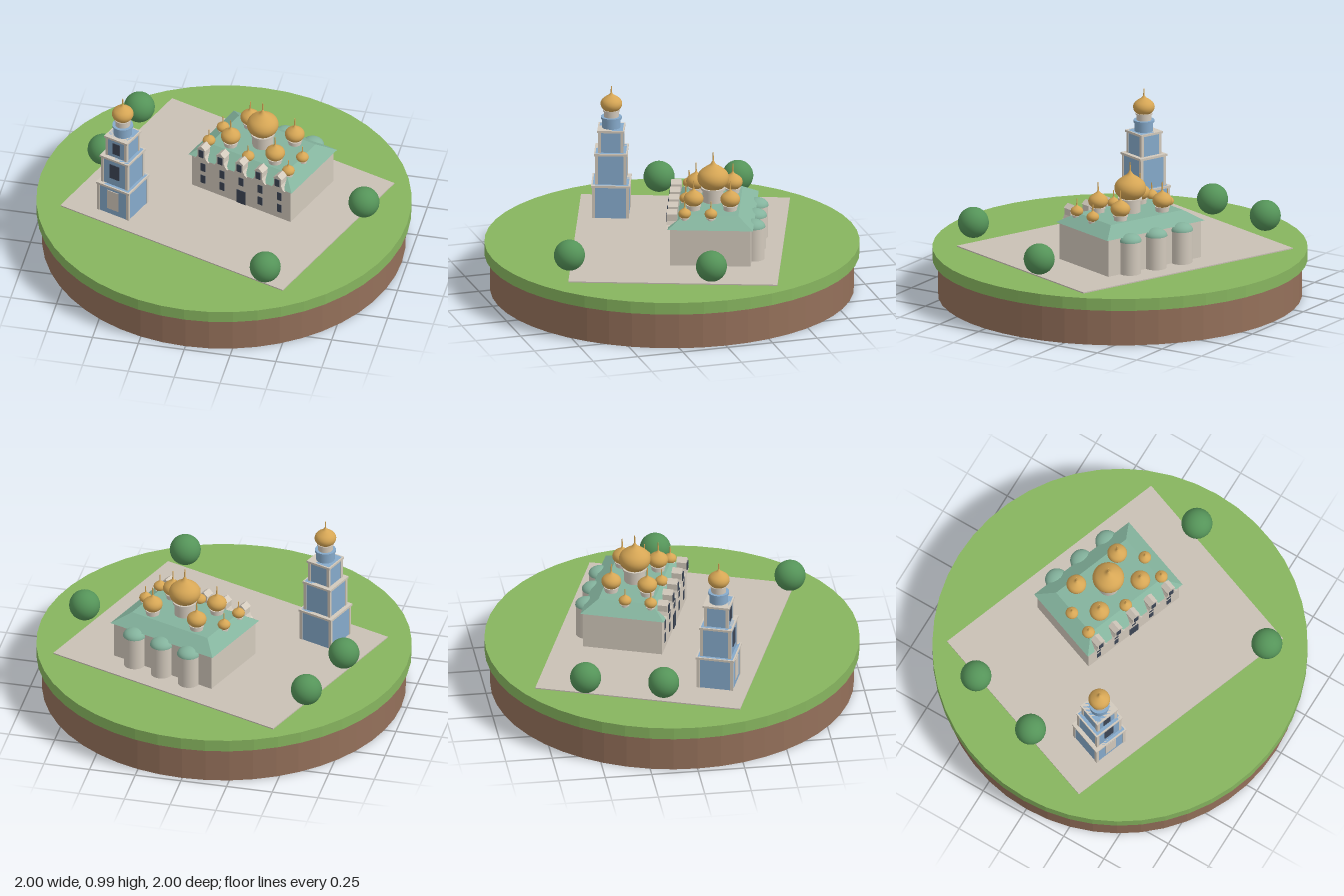
import * as THREE from 'three';

const mat = (name, color) => Object.assign(new THREE.MeshStandardMaterial({ color }), { name });

export function createModel() {
  const M = {
    grass: mat('grass', 0x87b55f), earth: mat('earth', 0x94705a),
    paving: mat('paving', 0xc9c0b5), stone: mat('pale stone', 0xd2c9bc),
    teal: mat('teal roof', 0x84b39d), gold: mat('gold', 0xd6a655),
    blue: mat('tower blue', 0x86aacb), dark: mat('dark opening', 0x3d4656),
    leaf: mat('foliage', 0x559459),
  };
  const root = new THREE.Group();
  root.name = 'churchIsland';

  const add = (parent, name, geo, material, x = 0, y = 0, z = 0) => {
    const m = new THREE.Mesh(geo, material);
    m.name = name;
    m.position.set(x, y, z);
    parent.add(m);
    return m;
  };
  // box standing on its base y
  const box = (parent, name, material, w, h, d, x, y, z) =>
    add(parent, name, new THREE.BoxGeometry(w, h, d), material, x, y + h / 2, z);
  // upright cylinder standing on its base y
  const drum = (parent, name, material, rt, rb, h, x, y, z, n = 24) =>
    add(parent, name, new THREE.CylinderGeometry(rt, rb, h, n), material, x, y + h / 2, z);
  const turned = (name, x, z) => {
    const g = new THREE.Group();
    g.name = name;
    g.position.set(x, 0, z);
    g.rotation.y = -THREE.MathUtils.degToRad(20);
    root.add(g);
    return g;
  };
  const faceted = (geo) => {
    const g = geo.toNonIndexed();
    g.computeVertexNormals();
    return g;
  };

  // ground disc
  add(root, 'earthBase', faceted(new THREE.CylinderGeometry(0.97, 0.97, 0.2, 48)), M.earth, 0, 0.1, 0);
  add(root, 'grassDisc', faceted(new THREE.CylinderGeometry(1, 1, 0.066, 48)), M.grass, 0, 0.233, 0);
  const court = turned('courtyard', 0.01, -0.037);
  box(court, 'pavedCourt', M.paving, 1.4, 0.012, 1.115, 0, 0.26, 0);

  // onion dome with spire, y is its foot
  const onionCurve = new THREE.SplineCurve([
    [0.62, 0], [0.9, 0.28], [1, 0.65], [0.86, 1.02], [0.5, 1.32], [0.2, 1.52], [0.04, 1.78],
  ].map(([x, y]) => new THREE.Vector2(x, y)));
  const onionProfile = [new THREE.Vector2(0, 0), ...onionCurve.getPoints(18), new THREE.Vector2(0, 1.82)];
  const onionGeo = new THREE.LatheGeometry(onionProfile, 28);
  const onion = (parent, r, x, y, z, spire) => {
    add(parent, 'onionDome', onionGeo, M.gold, x, y, z).scale.setScalar(r);
    drum(parent, 'spire', M.gold, 0.0025, 0.004, spire, x, y + r * 1.72, z, 8);
  };

  // church body
  const church = turned('church', 0.173, -0.176);
  const base = 0.268, front = 0.215;
  box(church, 'churchWalls', M.stone, 0.62, 0.21, 0.43, 0, base, 0);

  // hipped roof with a flat top
  const roofGeo = new THREE.BoxGeometry(0.65, 0.055, 0.455);
  const p = roofGeo.attributes.position;
  for (let i = 0; i < p.count; i++) {
    if (p.getY(i) > 0) p.setXYZ(i, Math.sign(p.getX(i)) * 0.24, p.getY(i), Math.sign(p.getZ(i)) * 0.146);
  }
  add(church, 'hippedRoof', faceted(roofGeo), M.teal, 0, 0.5035, 0);

  // flared dormers, windows and door along the front
  const half = [[0.045, 0], [0.031, 0.013], [0.022, 0.034], [0.022, 0.07], [0.027, 0.072], [0.012, 0.084]];
  const gable = new THREE.Shape([...half, [0, 0.094], ...half.slice().reverse().map(([x, y]) => [-x, y])]
    .map(([x, y]) => new THREE.Vector2(x, y)));
  const gableGeo = new THREE.ExtrudeGeometry(gable, { depth: 0.055, bevelEnabled: false });
  for (let i = -2; i <= 2; i++) {
    const x = i * 0.12;
    add(church, 'dormer', gableGeo, M.stone, x, 0.472, 0.18);
    box(church, 'dormerWindow', M.dark, 0.028, 0.045, 0.006, x, 0.496, 0.236);
    box(church, 'upperWindow', M.dark, 0.028, 0.05, 0.006, x, 0.39, front);
    if (i) box(church, 'lowerWindow', M.dark, 0.028, 0.05, 0.006, x, 0.312, front);
  }
  box(church, 'door', M.dark, 0.056, 0.088, 0.008, 0, base, front);

  // rounded apses at the back
  for (const x of [-0.172, 0, 0.172]) {
    drum(church, 'apse', M.stone, 0.058, 0.058, 0.182, x, base, -0.225);
    const cap = add(church, 'apseCap', new THREE.SphereGeometry(0.062, 24, 8, 0, Math.PI * 2, 0, Math.PI / 2),
      M.teal, x, 0.45, -0.225);
    cap.scale.y = 0.65;
  }

  // church domes: x, z, radius, foot height, spire length
  const domes = [[0, 0, 0.085, 0.608, 0.05]];
  for (const sx of [-1, 1]) {
    for (const sz of [-1, 1]) domes.push([sx * 0.14, sz * 0.098, 0.053, 0.558, 0.045]);
    domes.push([sx * 0.25, 0, 0.034, 0.523, 0.032], [sx * 0.25, 0.14, 0.034, 0.523, 0.032]);
  }
  domes.push([0, 0.146, 0.034, 0.523, 0.032]);
  for (const [x, z, r, y, spire] of domes) {
    drum(church, 'domeDrum', M.stone, r * 0.66, r * 0.66, y - 0.48, x, 0.48, z);
    drum(church, 'drumCornice', M.stone, r * 0.76, r * 0.76, r * 0.14, x, y - r * 0.14, z);
    onion(church, r, x, y, z, spire);
  }

  // bell tower: side, foot, height, opening width, opening height, opening foot
  const tower = turned('bellTower', -0.513, 0.179);
  const tiers = [
    [0.192, 0.268, 0.188, 0.07, 0.12, 0.305, M.stone],
    [0.162, 0.456, 0.174, 0.06, 0.09, 0.5, M.dark],
    [0.128, 0.63, 0.125, 0.046, 0.07, 0.652, M.dark],
  ];
  for (const [s, y, h, ow, oh, oy, om] of tiers) {
    box(tower, 'towerTier', M.blue, s, h, s, 0, y, 0);
    for (const sx of [-1, 1]) for (const sz of [-1, 1]) {
      box(tower, 'cornerPilaster', M.stone, 0.016, h, 0.016, sx * (s / 2 - 0.005), y, sz * (s / 2 - 0.005));
    }
    box(tower, 'tierCornice', M.stone, s + 0.016, 0.012, s + 0.016, 0, y + h - 0.012, 0);
    box(tower, 'towerOpening', om, ow, oh, 0.008, 0, oy, s / 2);
  }
  drum(tower, 'lanternDrum', M.blue, 0.05, 0.05, 0.058, 0, 0.754, 0);
  drum(tower, 'lanternCornice', M.blue, 0.056, 0.056, 0.012, 0, 0.803, 0);
  drum(tower, 'domeNeck', M.stone, 0.04, 0.04, 0.04, 0, 0.813, 0);
  drum(tower, 'neckCornice', M.stone, 0.045, 0.045, 0.008, 0, 0.845, 0);
  onion(tower, 0.058, 0, 0.85, 0, 0.036);

  // round tree crowns
  for (const [x, z] of [[-0.58, -0.547], [-0.69, -0.142], [0.767, 0.018], [0.374, 0.688]]) {
    add(root, 'treeCrown', new THREE.SphereGeometry(0.083, 24, 16), M.leaf, x, 0.382, z);
  }
  return root;
}
